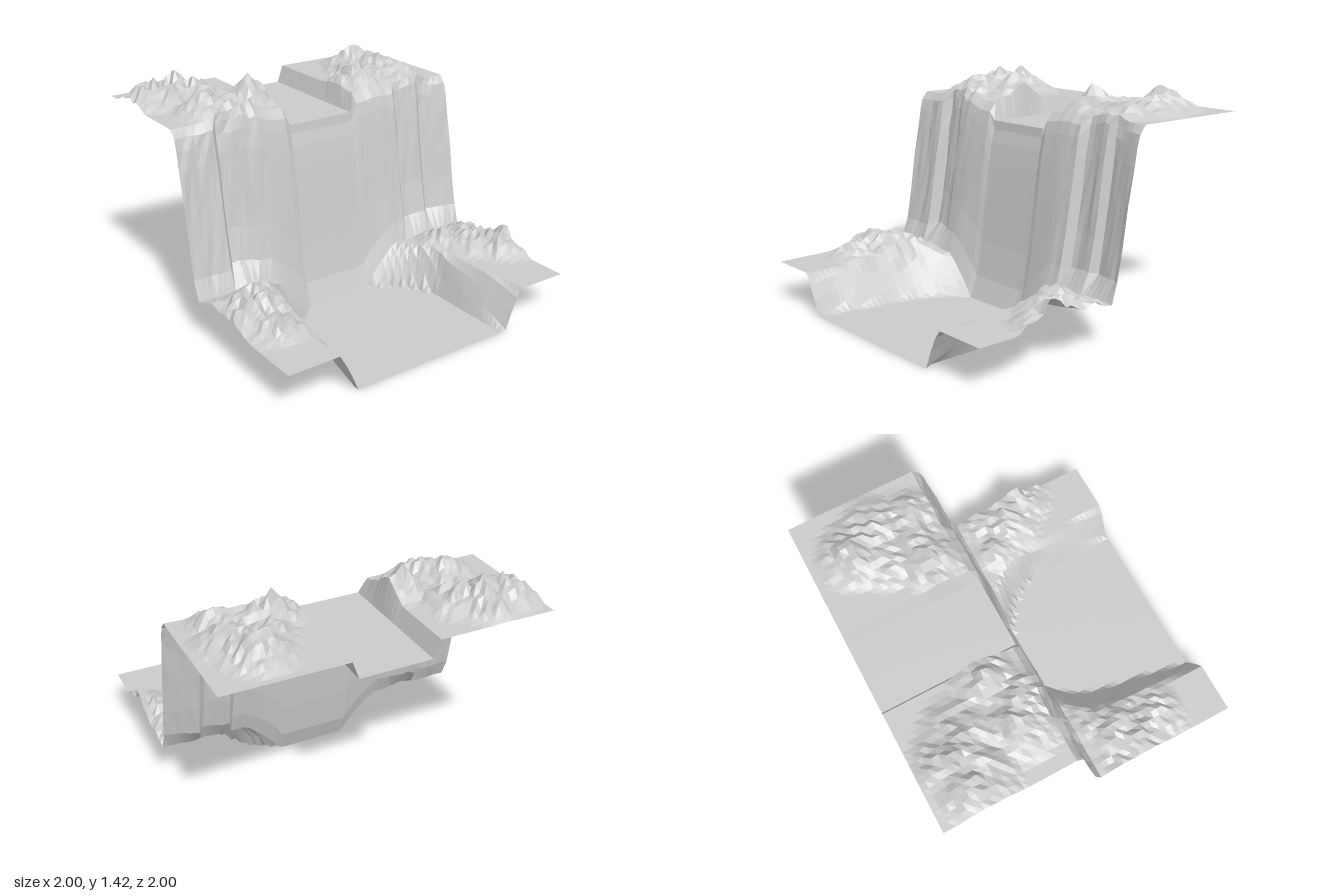
import * as THREE from 'three';

const COLS = 49;
const clamp01 = (v) => Math.min(1, Math.max(0, v));

// piecewise-linear lookup in a list of [key, value] pairs
function lookup(pts, k) {
  if (k <= pts[0][0]) return pts[0][1];
  for (let i = 1; i < pts.length; i++) {
    const [k0, v0] = pts[i - 1], [k1, v1] = pts[i];
    if (k <= k1) return v0 + (v1 - v0) * (k - k0) / (k1 - k0);
  }
  return pts[pts.length - 1][1];
}

// repeatable noise in 0..1
function hash(x, z) {
  const s = Math.sin(Math.round(x * 50) * 12.9898 + Math.round(z * 50) * 78.233) * 43758.5453;
  return s - Math.floor(s);
}

// rocky outcrops: [x, z, height, radius]
const UPPER_ROCKS = [
  [-0.83, -0.72, 0.15, 0.26], [-0.67, -0.77, 0.14, 0.24], [-0.57, -0.68, 0.12, 0.24],
  [-0.67, -0.36, 0.14, 0.23], [-0.55, -0.3, 0.11, 0.22], [-0.35, -0.42, 0.15, 0.2],
  [0.43, -0.37, 0.15, 0.2], [0.58, -0.4, 0.1, 0.22], [0.67, -0.72, 0.15, 0.24],
  [0.75, -0.55, 0.1, 0.24], [0.55, -0.58, 0.09, 0.2], [0.73, -0.33, 0.1, 0.2],
];
const LOWER_ROCKS = [
  [-0.77, 0.31, 0.16, 0.27], [-0.67, 0.2, 0.1, 0.2], [-0.87, 0.38, 0.13, 0.25],
  [-0.8, 0.55, 0.1, 0.22], [-0.95, 0.22, 0.06, 0.2],
  [1.0, 0.48, 0.15, 0.27], [0.87, 0.36, 0.12, 0.25], [0.72, 0.2, 0.08, 0.18],
  [0.93, 0.2, 0.07, 0.2],
];
function rocks(list, x, z) {
  let h = 0;
  for (const [px, pz, ph, r] of list) {
    h = Math.max(h, ph * Math.pow(clamp01(1 - Math.hypot(x - px, z - pz) / r), 1.1));
  }
  const n = hash(x, z);
  return h * (0.72 + 0.42 * n) + 0.018 * clamp01(h / 0.05) * n;
}

// upper plateau with a straight channel
const inChannel = (x) => Math.abs(x) < 0.24;
function upperY(x, z) {
  return inChannel(x) ? 1.14 : 1.25 + rocks(UPPER_ROCKS, x, z);
}

// pool outline: half-width of the bed and of the bank rim along z, per side
const BED = {
  left: [[0.05, 0.22], [0.1, 0.28], [0.2, 0.37], [0.3, 0.42], [0.45, 0.46], [0.7, 0.5], [0.85, 0.54], [1, 0.555]],
  right: [[0.05, 0.2], [0.1, 0.3], [0.17, 0.4], [0.27, 0.47], [0.38, 0.53], [0.6, 0.51], [0.8, 0.52], [1, 0.55]],
};
const RIM = {
  left: [[0.05, 0.46], [0.2, 0.57], [0.35, 0.62], [0.7, 0.64], [1, 0.67]],
  right: [[0.05, 0.45], [0.2, 0.55], [0.4, 0.6], [0.7, 0.63], [1, 0.66]],
};
function lowerY(x, z) {
  const side = x < 0 ? 'left' : 'right';
  const bed = lookup(BED[side], z), rim = lookup(RIM[side], z);
  const s = clamp01((Math.abs(x) - bed) / (rim - bed));
  const bank = Math.pow(s, 0.85);
  return bank * 0.25 + s * s * rocks(LOWER_ROCKS, x, z);
}

// cliff: how far the rock ribs recede along x
const RIBS = [
  [-1, -0.01], [-0.9, -0.02], [-0.76, 0], [-0.72, -0.07], [-0.64, -0.05], [-0.59, -0.045],
  [-0.54, -0.015], [-0.4, 0], [0.4, 0], [0.55, 0], [0.6, -0.06], [0.68, -0.045],
  [0.75, -0.02], [0.8, -0.07], [0.87, -0.04], [0.92, -0.03], [1, -0.005],
];
// cliff rows: height fraction, z, rib strength
const CLIFF = [
  [0, 0.045, 0], [0.12, 0.01, 1], [0.32, -0.03, 1], [0.55, -0.065, 1],
  [0.77, -0.1, 1], [0.88, -0.122, 0.9], [0.95, -0.142, 0.8], [1, -0.19, 0.15],
];
const footZ = (x) => 0.045 + 0.06 * (0.25 - Math.min(0.25, lowerY(x, 0.05)));
const lipZ = (x) => inChannel(x) ? -0.147 : -0.19 + 0.15 * lookup(RIBS, x);

function cliffPoint(x, j) {
  const [t, z, rib] = CLIFF[j];
  const y0 = lowerY(x, footZ(x)), y1 = upperY(x, lipZ(x));
  if (j === 0) return [x, y0, footZ(x)];
  if (j === CLIFF.length - 1) return [x, y1, lipZ(x)];
  const rough = (hash(x, j) - 0.5) * 0.012 * clamp01((Math.abs(x) - 0.4) * 5);
  return [x, y0 + (y1 - y0) * t, z + rib * lookup(RIBS, x) + rough];
}

// a faceted sheet from rows of points
function sheet(name, rows, point) {
  const pos = [], index = [], w = COLS + 1;
  for (let j = 0; j <= rows; j++) {
    for (let i = 0; i <= COLS; i++) pos.push(...point(-1 + 2 * i / COLS, j));
  }
  for (let j = 0; j < rows; j++) {
    for (let i = 0; i < COLS; i++) {
      const a = j * w + i, d = a + w;
      index.push(a, a + 1, d + 1, a, d + 1, d);
    }
  }
  const geo = new THREE.BufferGeometry();
  geo.setAttribute('position', new THREE.Float32BufferAttribute(pos, 3));
  geo.setIndex(index);
  geo.computeVertexNormals();
  const mesh = new THREE.Mesh(geo, new THREE.MeshStandardMaterial({
    color: 0xcccccc, flatShading: true, side: THREE.DoubleSide,
  }));
  mesh.name = name;
  return mesh;
}

export function createModel() {
  const group = new THREE.Group();
  group.name = 'waterfallTerrain';
  const LOW = 24, UP = 20;

  // pool and its banks, from the front edge to the cliff foot
  group.add(sheet('lowerGround', LOW, (x, j) => {
    const z = 1 + (footZ(x) - 1) * j / LOW;
    return [x, lowerY(x, z), z];
  }));

  // steep ribbed rock face
  group.add(sheet('cliff', CLIFF.length - 1, cliffPoint));

  // plateau and channel, from the cliff lip to the back edge
  group.add(sheet('upperGround', UP, (x, j) => {
    const z = lipZ(x) + (-1 - lipZ(x)) * j / UP;
    return [x, upperY(x, z), z];
  }));
  return group;
}
